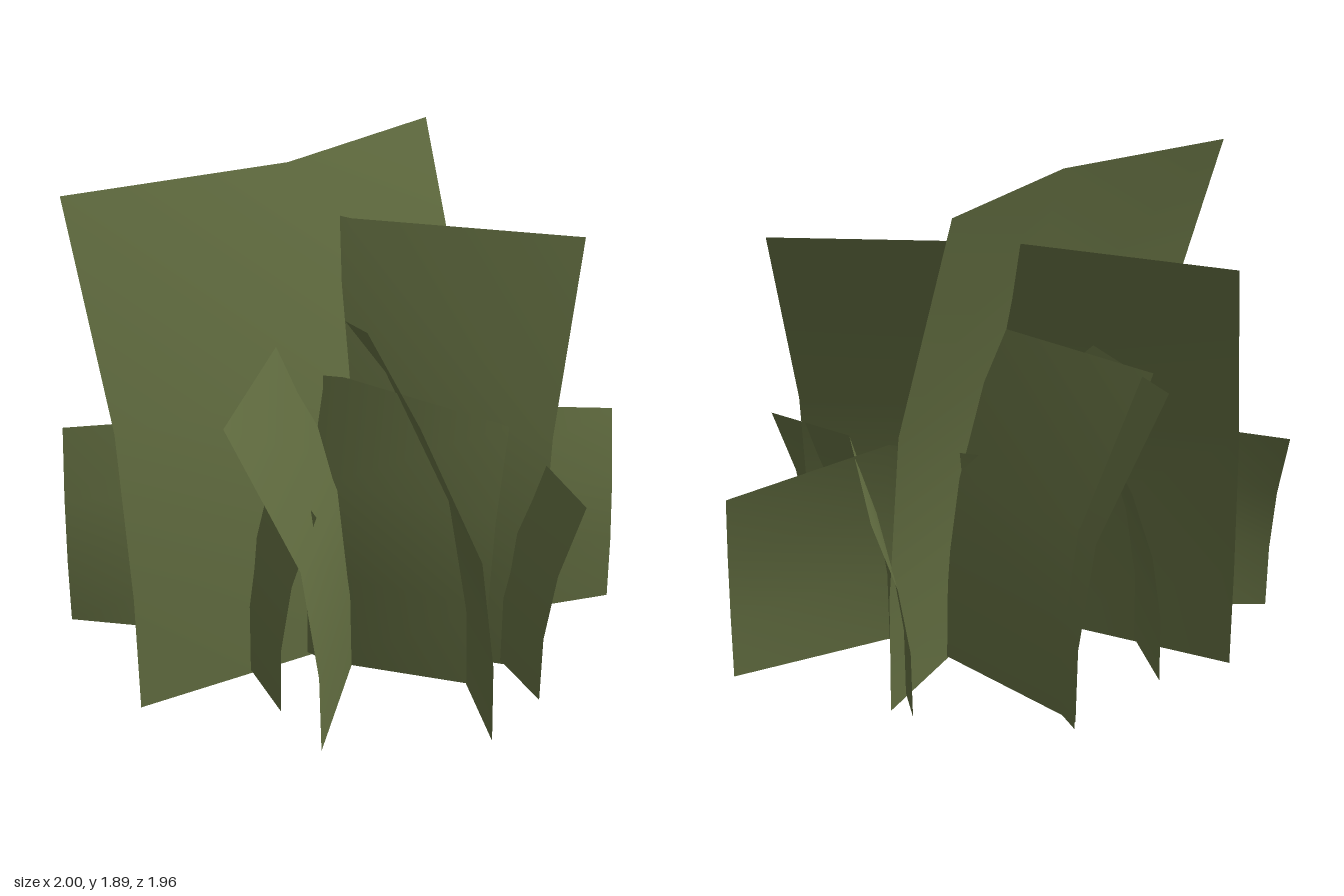
import * as THREE from 'three';

const olive = new THREE.MeshStandardMaterial({ color: 0x606b3f, side: THREE.DoubleSide });
olive.name = 'olive leaf';

// Bend of a card from root to tip: [fraction of height, fraction of lean]
const TALL = [[0, 0], [0.24, 0.02], [0.575, 0.21], [1, 1]];
const SHORT = [[0, 0], [0.33, 0.03], [0.66, 0.34], [1, 1]];

// A card folded down its middle, leaning over towards its top.
// a, b: top corners [x, z]; lean: [x, z] from root to top; fold: depth of the crease
function card(name, { a, b, lean, endY, midY, rootY, fold, profile }) {
  const len = Math.hypot(lean[0], lean[1]);
  const mid = [
    (a[0] + b[0]) / 2 - lean[0] / len * fold,
    (a[1] + b[1]) / 2 - lean[1] / len * fold];
  const columns = [[a, endY], [mid, midY], [b, endY]];
  const pos = [], index = [];
  profile.forEach(([t, l], row) => {
    for (const [p, h] of columns) {
      pos.push(
        p[0] - lean[0] * (1 - l),
        rootY + (h - rootY) * t,
        p[1] - lean[1] * (1 - l));
    }
    if (row === 0) return;
    for (let c = 0; c < 2; c++) {
      const i = (row - 1) * 3 + c, j = i + 3;
      index.push(i, i + 1, j, i + 1, j + 1, j);
    }
  });
  const geo = new THREE.BufferGeometry();
  geo.setAttribute('position', new THREE.Float32BufferAttribute(pos, 3));
  geo.setIndex(index);
  geo.computeVertexNormals();
  const mesh = new THREE.Mesh(geo, olive);
  mesh.name = name;
  return mesh;
}

const tall = (name, a, b, lean, h, rootY) => card(name, {
  a, b, lean, endY: h, midY: h, rootY, fold: 0.17, profile: TALL });
const short = (name, a, b, lean, endY, midY) => card(name, {
  a, b, lean, endY, midY, rootY: 0.015, fold: 0.13, profile: SHORT });

export function createModel() {
  const group = new THREE.Group();
  group.name = 'grassTuft';
  group.add(
    // Wide cards crossing through the middle
    tall('backLeafCard', [-1, -0.37], [0.725, -0.37], [0, -0.31], 1.89, 0),
    tall('leftLeafCard', [-0.06, -0.98], [0.57, 0.625], [0.285, -0.11], 1.65, 0),
    tall('rightLeafCard', [-0.48, 0.86], [0.11, -0.76], [-0.285, -0.105], 1.285, 0.01),
    tall('backRightLeafCard', [-0.93, 0.41], [0.21, -0.885], [-0.235, -0.2], 1.265, 0.015),
    // Narrow cards filling in around them
    short('frontLeftBlade', [0.24, 0.975], [0.85, -0.1], [0.12, 0.07], 0.8, 0.895),
    short('backRightBlade', [-0.525, 0.395], [0.08, -0.67], [0.12, 0.07], 0.8, 0.895),
    short('leftBlade', [1, 0.455], [0, -0.28], [0.09, -0.11], 0.8, 0.895),
    short('backBlade', [0.17, -0.08], [-0.765, -0.86], [0.09, -0.11], 0.8, 0.895),
    short('frontBlade', [0.17, 0.655], [-0.24, -0.49], [0.135, -0.05], 1.03, 1.15));
  return group;
}
